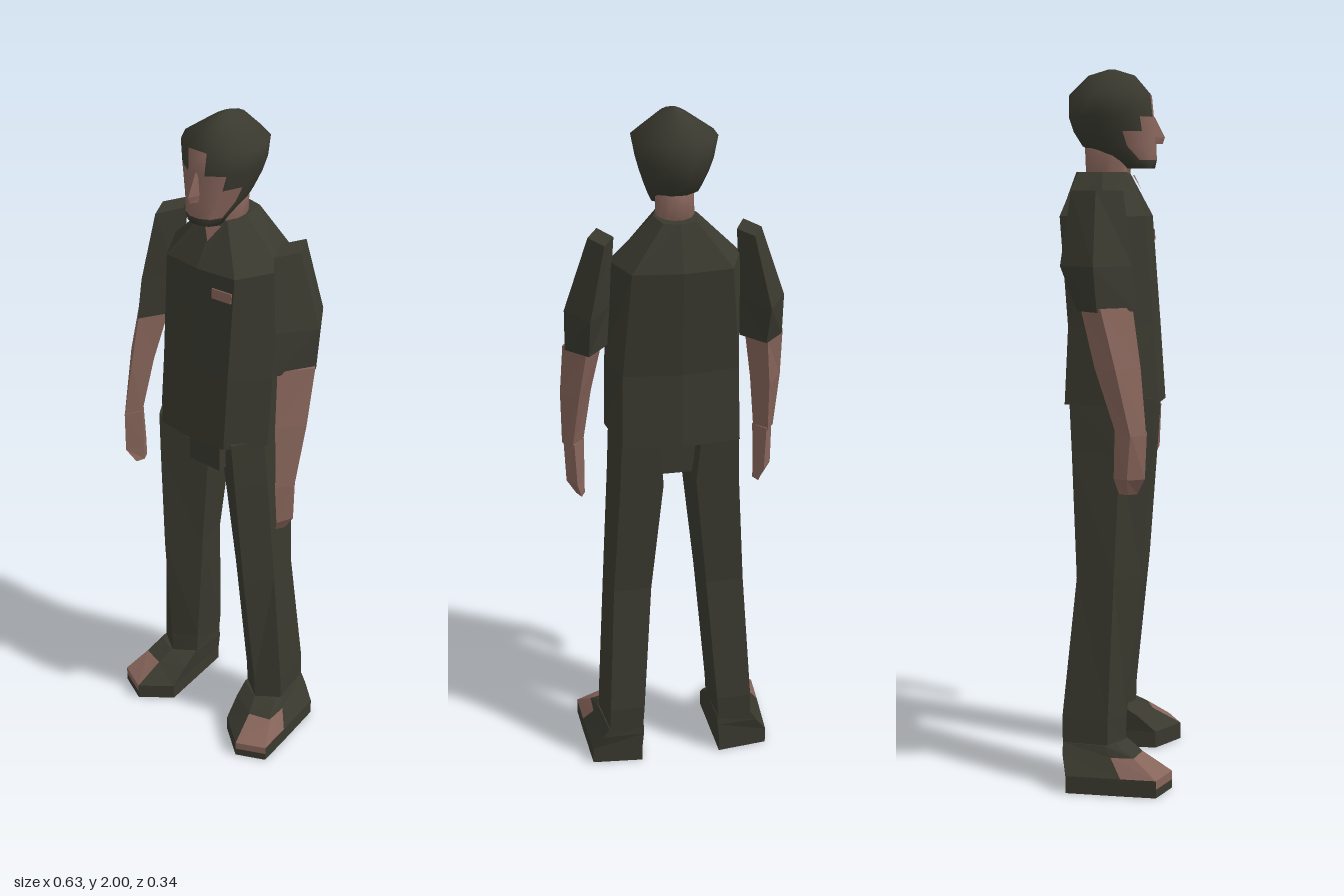
import * as THREE from 'three';

const cloth = new THREE.MeshStandardMaterial({ color: 0x39392f });
cloth.name = 'darkOlive';
const skin = new THREE.MeshStandardMaterial({ color: 0x86645a });
skin.name = 'skinBrown';

// Skins stacked rings [y, [x, z], ...] listed bottom to top, counterclockwise from above.
// side = -1 mirrors in x; isSkin(layer, segment) picks the second colour.
function loft(name, rings, { side = 1, base = cloth, isSkin = null, smooth = false } = {}) {
  const n = rings[0].length - 1;
  const pos = [];
  const faces = [[], []];
  for (const [y, ...pts] of rings) for (const [x, z] of pts) pos.push(x * side, y, z);
  const tri = (g, a, b, c) => faces[g].push(a, ...(side > 0 ? [b, c] : [c, b]));
  for (let i = 0; i < rings.length - 1; i++) {
    for (let j = 0; j < n; j++) {
      const k = (j + 1) % n;
      const g = isSkin && isSkin(i, j) ? 1 : 0;
      tri(g, i * n + j, i * n + k, (i + 1) * n + k);
      tri(g, i * n + j, (i + 1) * n + k, (i + 1) * n + j);
    }
  }
  const top = (rings.length - 1) * n;
  for (let j = 1; j < n - 1; j++) {
    tri(0, 0, j + 1, j);
    tri(0, top, top + j, top + j + 1);
  }
  let geo = new THREE.BufferGeometry();
  geo.setAttribute('position', new THREE.Float32BufferAttribute(pos, 3));
  geo.setIndex([...faces[0], ...faces[1]]);
  if (!smooth) geo = geo.toNonIndexed();
  geo.computeVertexNormals();
  if (isSkin) {
    geo.addGroup(0, faces[0].length, 0);
    geo.addGroup(faces[0].length, faces[1].length, 1);
  }
  const mesh = new THREE.Mesh(geo, isSkin ? [base, skin] : base);
  mesh.name = name;
  return mesh;
}

// Symmetric torso ring: front centre, front corner, side, back corner, back centre
function torsoRing(y, zf, [cx, cz], [sx, sz], [bx, bz], zb) {
  return [y, [0, zf], [cx, cz], [sx, sz], [bx, bz], [0, zb], [-bx, bz], [-sx, sz], [-cx, cz]];
}

// Twelve-sided oval ring with a flat segment facing the front
function ovalRing([y, w, zf, zb]) {
  const pts = [];
  for (let j = 0; j < 12; j++) {
    const a = (j - 0.5) * Math.PI / 6;
    pts.push([w * Math.sin(a), (zf + zb) / 2 + (zf - zb) / 2 * Math.cos(a) * 1.03]);
  }
  return [y, ...pts];
}

function createLimbs(group, side) {
  const label = side > 0 ? 'left' : 'right';
  // Trouser leg
  group.add(loft(label + 'Leg', [
    [0.11, [0.17, 0.035], [0.235, -0.01], [0.218, -0.138], [0.118, -0.138], [0.105, -0.01]],
    [0.2, [0.167, 0.038], [0.232, -0.01], [0.215, -0.14], [0.112, -0.14], [0.1, -0.01]],
    [0.6, [0.152, 0.078], [0.209, 0.005], [0.192, -0.1], [0.082, -0.1], [0.065, 0.005]],
    [0.95, [0.137, 0.103], [0.188, 0.02], [0.17, -0.115], [0.047, -0.115], [0.028, 0.02]],
    [1.1, [0.13, 0.113], [0.18, 0.03], [0.165, -0.122], [0.06, -0.122], [0.05, 0.03]],
  ], { side }));

  // Shoe with a bare toe
  const sole = [[0.2, 0.17], [0.285, 0.13], [0.28, 0.03], [0.27, -0.125], [0.12, -0.14], [0.11, 0.1]];
  group.add(loft(label + 'Shoe', [
    [0, ...sole],
    [0.025, ...sole],
    [0.05, ...sole],
    [0.1, [0.185, 0.085], [0.25, 0.065], [0.25, 0], [0.237, -0.137], [0.115, -0.14], [0.105, 0.045]],
    [0.13, [0.17, 0.038], [0.23, 0.015], [0.237, -0.02], [0.22, -0.138], [0.115, -0.138], [0.103, 0]],
  ], { side, isSkin: (i, j) => (i === 1 && j === 0) || (i === 2 && j < 2) }));

  // Sleeve
  group.add(loft(label + 'Sleeve', [
    [1.35, [0.24, 0.07], [0.303, -0.03], [0.245, -0.09], [0.185, -0.02]],
    [1.47, [0.232, 0.058], [0.303, -0.04], [0.245, -0.135], [0.178, -0.03]],
    [1.67, [0.2, 0.03], [0.234, -0.04], [0.2, -0.11], [0.166, -0.045]],
  ], { side }));

  // Forearm
  group.add(loft(label + 'Forearm', [
    [1.02, [0.277, 0.1], [0.31, 0.06], [0.285, 0.02], [0.25, 0.055]],
    [1.2, [0.257, 0.083], [0.315, 0.02], [0.27, -0.04], [0.228, 0.02]],
    [1.36, [0.243, 0.06], [0.308, -0.02], [0.25, -0.08], [0.2, -0.02]],
  ], { side, base: skin }));

  // Hand
  group.add(loft(label + 'Hand', [
    [0.855, [0.26, 0.075], [0.275, 0.05], [0.262, 0.025], [0.25, 0.05]],
    [0.9, [0.28, 0.097], [0.302, 0.05], [0.275, 0.012], [0.25, 0.05]],
    [1.03, [0.275, 0.102], [0.306, 0.06], [0.28, 0.015], [0.247, 0.055]],
  ], { side, base: skin }));
}

export function createModel() {
  const group = new THREE.Group();
  group.name = 'standingMan';

  // Shirt
  group.add(loft('shirt', [
    torsoRing(1.085, 0.133, [0.11, 0.122], [0.192, 0.03], [0.165, -0.135], -0.152),
    torsoRing(1.3, 0.118, [0.112, 0.107], [0.19, 0.01], [0.16, -0.125], -0.143),
    torsoRing(1.6, 0.095, [0.115, 0.083], [0.18, -0.03], [0.135, -0.15], -0.165),
    torsoRing(1.72, 0.03, [0.04, 0.02], [0.06, -0.04], [0.045, -0.11], -0.12),
  ]));

  // Small chest patch
  const patch = new THREE.Mesh(new THREE.BoxGeometry(0.06, 0.028, 0.008), skin);
  patch.name = 'chestPatch';
  patch.position.set(0.08, 1.545, 0.091);
  patch.rotation.set(-0.076, 0.104, 0);
  group.add(patch);

  // Open collar
  const collar = new THREE.Mesh(new THREE.CircleGeometry(0.032, 3, -Math.PI / 2), skin);
  collar.name = 'collarOpening';
  collar.position.set(0.008, 1.698, 0.048);
  collar.rotation.x = -0.5;
  group.add(collar);

  // Trouser seat between the legs
  const seat = new THREE.Mesh(new THREE.BoxGeometry(0.11, 0.16, 0.14), cloth);
  seat.name = 'trouserSeat';
  seat.position.set(0, 1.04, 0);
  group.add(seat);

  // Neck
  group.add(loft('neck', [
    ovalRing([1.68, 0.052, 0.03, -0.09]),
    ovalRing([1.8, 0.05, 0.035, -0.095]),
  ], { base: skin, smooth: true }));

  // Head: dark hair and chin around a bare face
  const faceReach = [-1, 2, 2, 1, 0, -1, -1];
  group.add(loft('head', [
    [1.73, 0.05, 0.1, 0.02],
    [1.752, 0.06, 0.105, -0.01],
    [1.79, 0.076, 0.104, -0.1],
    [1.83, 0.09, 0.1, -0.125],
    [1.87, 0.102, 0.096, -0.138],
    [1.93, 0.114, 0.09, -0.136],
    [1.983, 0.036, 0.045, -0.085],
    [2, 0.006, -0.01, -0.03],
  ].map(ovalRing), { smooth: true, isSkin: (i, j) => Math.min(j, 12 - j) <= faceReach[i] }));

  // Nose
  group.add(loft('nose', [
    [1.797, [0, 0.122], [0.018, 0.095], [-0.018, 0.095]],
    [1.815, [0, 0.128], [0.018, 0.095], [-0.018, 0.095]],
    [1.87, [0, 0.1], [0.01, 0.088], [-0.01, 0.088]],
  ], { base: skin }));

  createLimbs(group, 1);
  createLimbs(group, -1);
  return group;
}
